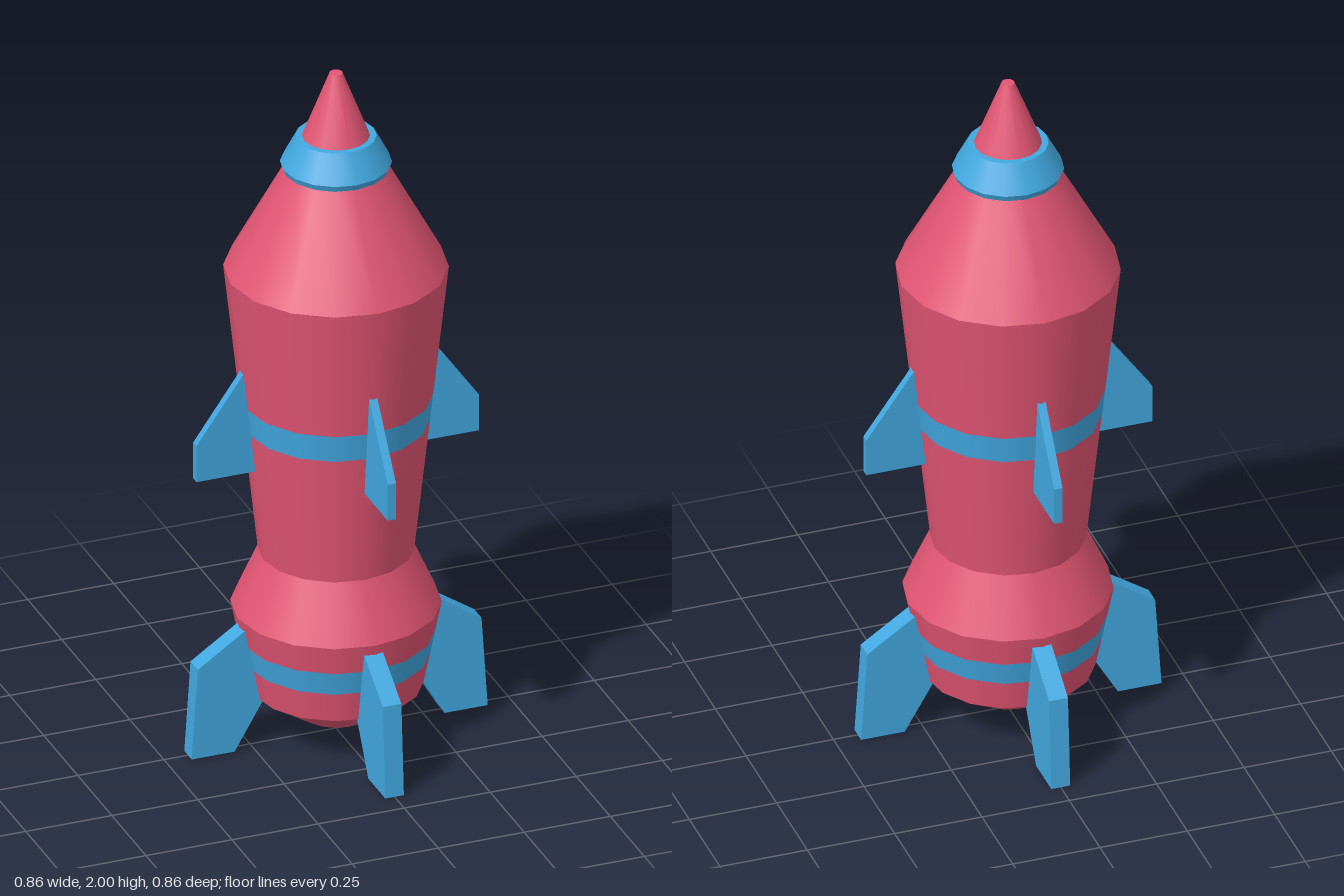
import * as THREE from 'three';

const red = new THREE.MeshStandardMaterial({ color: 0xe25573 });
const blue = new THREE.MeshStandardMaterial({ color: 0x41a8e0 });
const SIDES = 16;

// One crisp-edged ring of the hull between two [radius, height] points
function ring(a, b, material, name) {
  const points = [new THREE.Vector2(...a), new THREE.Vector2(...b)];
  const mesh = new THREE.Mesh(new THREE.LatheGeometry(points, SIDES), material);
  mesh.name = name;
  return mesh;
}

// Stack of rings following a profile from bottom to top; bands lists the blue ring indices
function shell(name, profile, material, bands = []) {
  const group = new THREE.Group();
  group.name = name;
  for (let i = 0; i < profile.length - 1; i++) {
    const isBand = bands.includes(i);
    group.add(ring(profile[i], profile[i + 1], isBand ? blue : material, isBand ? 'stripe' : name + 'Panel'));
  }
  return group;
}

// Four flat fins around the hull, outlined in [radius, height]
function finSet(name, outline, thickness) {
  const group = new THREE.Group();
  group.name = name + 's';
  const shape = new THREE.Shape(outline.map(p => new THREE.Vector2(...p)));
  const geometry = new THREE.ExtrudeGeometry(shape, { depth: thickness, bevelEnabled: false });
  geometry.translate(0, 0, -thickness / 2);
  for (let i = 0; i < 4; i++) {
    const fin = new THREE.Mesh(geometry, blue);
    fin.name = name;
    fin.rotation.y = i * Math.PI / 2;
    group.add(fin);
  }
  return group;
}

export function createModel() {
  const rocket = new THREE.Group();
  rocket.name = 'rocket';

  // Bulged tail with a shallow nozzle recess underneath
  rocket.add(shell('tail', [
    [0, 0.07], [0.065, 0.07], [0.075, 0.05], [0.095, 0.05], [0.237, 0.145],
    [0.255, 0.235], [0.269, 0.305], [0.286, 0.39], [0.212, 0.555],
  ], red, [5]));

  // Tapered body and shoulder
  rocket.add(shell('body', [
    [0.212, 0.555], [0.254, 0.945], [0.263, 1.025], [0.305, 1.412], [0.142, 1.712],
  ], red, [1]));

  // Collar and nose cone
  rocket.add(shell('collar', [
    [0.13, 1.712], [0.145, 1.712], [0.152, 1.73], [0.11, 1.81], [0.08, 1.81],
  ], blue));
  rocket.add(shell('nose', [[0.093, 1.808], [0.018, 2], [0, 2]], red));

  // Fins
  rocket.add(finSet('upperFin', [
    [0.22, 0.835], [0.41, 0.835], [0.41, 0.945], [0.272, 1.14], [0.22, 1.14],
  ], 0.024));
  rocket.add(finSet('lowerFin', [
    [0.305, 0], [0.43, 0], [0.412, 0.27], [0.278, 0.36], [0.22, 0.36], [0.22, 0.145],
  ], 0.054));

  return rocket;
}
